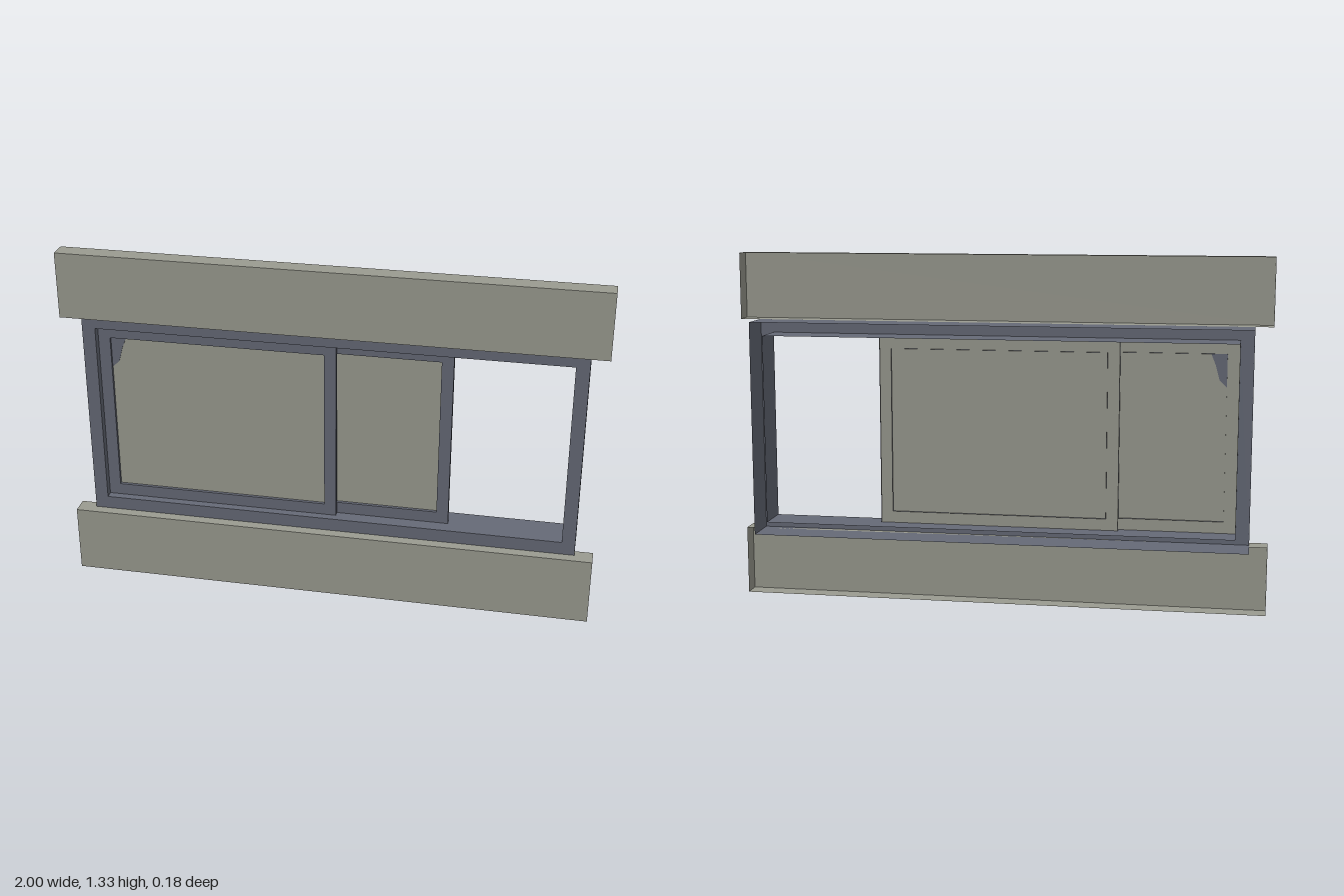
import * as THREE from 'three';
import { mergeGeometries } from 'three/addons/utils/BufferGeometryUtils.js';

// Corner points of a rectangle [x0, y0, x1, y1], counter-clockwise
const corners = ([x0, y0, x1, y1]) => [[x0, y0], [x1, y0], [x1, y1], [x0, y1]]
  .map(([x, y]) => new THREE.Vector2(x, y));
const inset = ([x0, y0, x1, y1], d) => [x0 + d, y0 + d, x1 - d, y1 - d];

// Four walls running from zBack to zFront around a rectangle
function walls(rect, zBack, zFront) {
  const [x0, y0, x1, y1] = rect;
  const w = x1 - x0, h = y1 - y0, d = zFront - zBack;
  const cx = (x0 + x1) / 2, cy = (y0 + y1) / 2, cz = (zFront + zBack) / 2;
  const q = Math.PI / 2;
  return [
    new THREE.PlaneGeometry(d, h).rotateY(q).translate(x1, cy, cz),
    new THREE.PlaneGeometry(d, h).rotateY(-q).translate(x0, cy, cz),
    new THREE.PlaneGeometry(w, d).rotateX(-q).translate(cx, y1, cz),
    new THREE.PlaneGeometry(w, d).rotateX(q).translate(cx, y0, cz),
  ];
}

// Hollow shell with a front face and no back; border > 0 cuts an opening
function shell(rect, zBack, zFront, border = 0) {
  const face = new THREE.Shape(corners(rect));
  const parts = walls(rect, zBack, zFront);
  if (border > 0) {
    const hole = inset(rect, border);
    face.holes.push(new THREE.Path(corners(hole).reverse()));
    parts.push(...walls(hole, zBack, zFront));
  }
  parts.push(new THREE.ShapeGeometry(face).translate(0, 0, zFront));
  return mergeGeometries(parts);
}

export function createModel() {
  const model = new THREE.Group();
  model.name = 'slidingWindow';

  const stone = new THREE.MeshStandardMaterial({ color: 0x9b9c91, side: THREE.DoubleSide });
  stone.name = 'warm grey';
  const metal = new THREE.MeshStandardMaterial({ color: 0x666a77, side: THREE.DoubleSide });
  metal.name = 'slate blue';

  const add = (parent, name, geometry, material) => {
    const mesh = new THREE.Mesh(geometry, material);
    mesh.name = name;
    parent.add(mesh);
  };

  // Wall bands below and above the window, open at the back
  add(model, 'sillBand', shell([-1, 0, 1, 0.26], 0.02, 0.09), stone);
  add(model, 'lintelBand', shell([-1, 1.075, 1, 1.325], 0.02, 0.09), stone);

  // Deep outer frame
  add(model, 'outerFrame', shell([-0.932, 0.26, 0.932, 1.073], -0.09, 0.05, 0.05), metal);

  // Two overlapping sashes, one behind the other
  for (const [name, x0, x1, zBack] of [
    ['frontSash', -0.882, 0.022, 0], ['backSash', -0.45, 0.45, -0.022],
  ]) {
    const sash = new THREE.Group();
    sash.name = name;
    const rect = [x0, 0.311, x1, 1.022];
    add(sash, name + 'Rails', shell(rect, zBack, zBack + 0.02, 0.045), metal);
    const pane = new THREE.ShapeGeometry(new THREE.Shape(corners(rect)));
    add(sash, name + 'Pane', pane.translate(0, 0, zBack + 0.008), stone);
    model.add(sash);
  }

  // Small broken-corner patch on both sides of the front pane
  const chip = new THREE.Shape([
    [-0.837, 0.977], [-0.837, 0.855], [-0.81, 0.88], [-0.795, 0.935], [-0.778, 0.977],
  ].map(([x, y]) => new THREE.Vector2(x, y)));
  const chipPlate = new THREE.ExtrudeGeometry(chip, { depth: 0.004, bevelEnabled: false });
  add(model, 'cornerPatch', chipPlate.translate(0, 0, 0.006), metal);

  return model;
}
